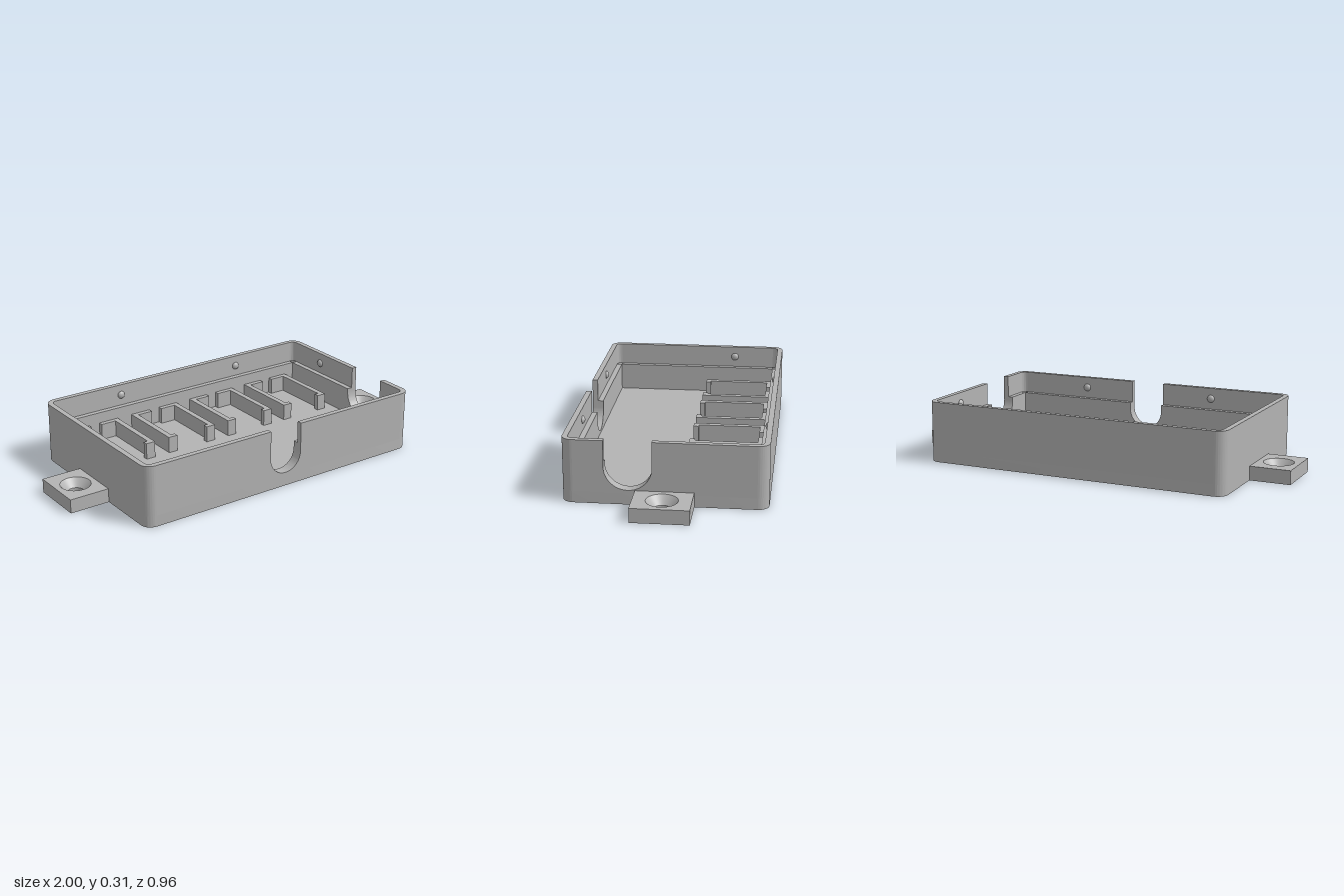
import * as THREE from 'three';
import { toCreasedNormals } from 'three/addons/utils/BufferGeometryUtils.js';

const HX = 0.795, HZ = 0.479;      // outer half sizes
const H = 0.308, LEDGE = 0.196;    // rim height, inner ledge height
const FLOOR = 0.056;
const T = 0.054, LIP = 0.027;      // full wall and upper lip thickness (T is also the corner radius)

const grey = new THREE.MeshStandardMaterial({ color: 0xb3b3b3, side: THREE.DoubleSide });
grey.name = 'grey plastic';

function add(parent, name, geometry) {
  const mesh = new THREE.Mesh(geometry, grey);
  mesh.name = name;
  parent.add(mesh);
  return mesh;
}

function extrude(shape, depth) {
  const g = new THREE.ExtrudeGeometry(shape, { depth, bevelEnabled: false, curveSegments: 24 });
  return toCreasedNormals(g, 0.5);
}

// Plan shape raised from y0 to y1
function slab(shape, y0, y1) {
  return extrude(shape, y1 - y0).rotateX(-Math.PI / 2).translate(0, y0, 0);
}

function rect(x0, x1, y0, y1) {
  return new THREE.Shape([[x0, y0], [x1, y0], [x1, y1], [x0, y1]].map(p => new THREE.Vector2(...p)));
}

function circleHole(shape, x, r) {
  shape.holes.push(new THREE.Path().absarc(x, 0, r, 0, Math.PI * 2, true));
  return shape;
}

// Wall outline with an optional U-shaped cable notch open at the top
function wallShape(half, top, notch) {
  if (!notch) return rect(-half, half, FLOOR, top);
  const { u, r, bottom } = notch;
  const s = new THREE.Shape();
  s.moveTo(-half, FLOOR);
  s.lineTo(half, FLOOR);
  s.lineTo(half, top);
  s.lineTo(u + r, top);
  s.lineTo(u + r, bottom + r);
  s.absarc(u, bottom + r, r, 0, Math.PI, true);
  s.lineTo(u - r, top);
  s.lineTo(-half, top);
  s.closePath();
  return s;
}

function makeWall(name, half, dist, angle, notch, bumps) {
  const wall = new THREE.Group();
  wall.name = name;
  add(wall, 'outerWall', extrude(wallShape(half, H, notch), LIP).translate(0, 0, dist - LIP));
  add(wall, 'innerWall', extrude(wallShape(half, LEDGE, notch), T - LIP).translate(0, 0, dist - T));
  // Snap bumps on the inside of the lip
  for (const u of bumps) {
    const bump = add(wall, 'snapBump', new THREE.SphereGeometry(0.02, 20, 14));
    bump.scale.z = 0.7;
    bump.position.set(u, 0.252, dist - LIP);
  }
  wall.rotation.y = angle;
  return wall;
}

// Mounting ear with a countersunk screw hole
function makeEar(side) {
  const ear = new THREE.Group();
  ear.name = side > 0 ? 'leftMountingEar' : 'rightMountingEar';
  const cx = 0.896, sink = 0.03, top = 0.07;
  const plan = r => circleHole(rect(HX - 0.01, 1, -0.137, 0.137), cx, r);
  add(ear, 'earBase', slab(plan(0.039), 0, sink));
  add(ear, 'earTop', slab(plan(0.075), sink, top));
  add(ear, 'countersink', new THREE.CylinderGeometry(0.075, 0.039, top - sink, 48, 1, true)
    .translate(cx, (top + sink) / 2, 0));
  if (side < 0) ear.rotation.y = Math.PI;
  return ear;
}

// Pair of mirrored bracket ribs that hold a part against the back wall
function makeHolder(x) {
  const holder = new THREE.Group();
  holder.name = 'holderRibs';
  const back = -HZ + T - 0.005, front = -0.064, top = 0.14;
  for (const s of [-1, 1]) {
    const outline = [[0.14, back], [0.14, front], [0.09, front], [0.09, front - 0.026], [0.112, front - 0.026],
      [0.112, -0.4], [0.03, -0.4], [0.03, back]];
    const shape = new THREE.Shape(outline.map(([a, z]) => new THREE.Vector2(s * a, -z)));
    add(holder, s < 0 ? 'rightRib' : 'leftRib', slab(shape, FLOOR - 0.005, top));
  }
  holder.position.x = x;
  return holder;
}

export function createModel() {
  const model = new THREE.Group();
  model.name = 'enclosureBase';
  const cx = HX - T, cz = HZ - T;

  // Floor with rounded corners
  const floor = new THREE.Shape();
  floor.absarc(cx, cz, T, 0, Math.PI / 2);
  floor.absarc(-cx, cz, T, Math.PI / 2, Math.PI);
  floor.absarc(-cx, -cz, T, Math.PI, Math.PI * 1.5);
  floor.absarc(cx, -cz, T, Math.PI * 1.5, Math.PI * 2);
  add(model, 'floor', slab(floor, 0, FLOOR));

  // Four walls, two of them notched for cables
  model.add(makeWall('frontWall', cx, HZ, 0, { u: 0, r: 0.09, bottom: 0.07 }, [-0.364, 0.364]));
  model.add(makeWall('backWall', cx, HZ, Math.PI, null, [-0.364, 0.364]));
  model.add(makeWall('leftWall', cz, HX, Math.PI / 2, { u: -0.17, r: 0.112, bottom: 0.07 }, [0.213]));
  model.add(makeWall('rightWall', cz, HX, -Math.PI / 2, null, [-0.213]));

  // Corner posts: solid below the ledge, thin lip above
  const pie = new THREE.Shape();
  pie.moveTo(0, 0);
  pie.absarc(0, 0, T, 0, Math.PI / 2);
  pie.closePath();
  const arc = new THREE.Shape();
  arc.absarc(0, 0, T, 0, Math.PI / 2);
  arc.absarc(0, 0, T - LIP, Math.PI / 2, 0, true);
  arc.closePath();
  [[1, -1], [-1, -1], [-1, 1], [1, 1]].forEach(([sx, sz], k) => {
    const corner = new THREE.Group();
    corner.name = 'corner';
    add(corner, 'cornerPost', slab(pie, FLOOR, LEDGE));
    add(corner, 'cornerLip', slab(arc, LEDGE, H));
    corner.position.set(sx * cx, 0, sz * cz);
    corner.rotation.y = k * Math.PI / 2;
    model.add(corner);
  });

  for (const x of [-0.545, -0.182, 0.182, 0.545]) model.add(makeHolder(x));
  for (const side of [-1, 1]) model.add(makeEar(side));
  return model;
}
